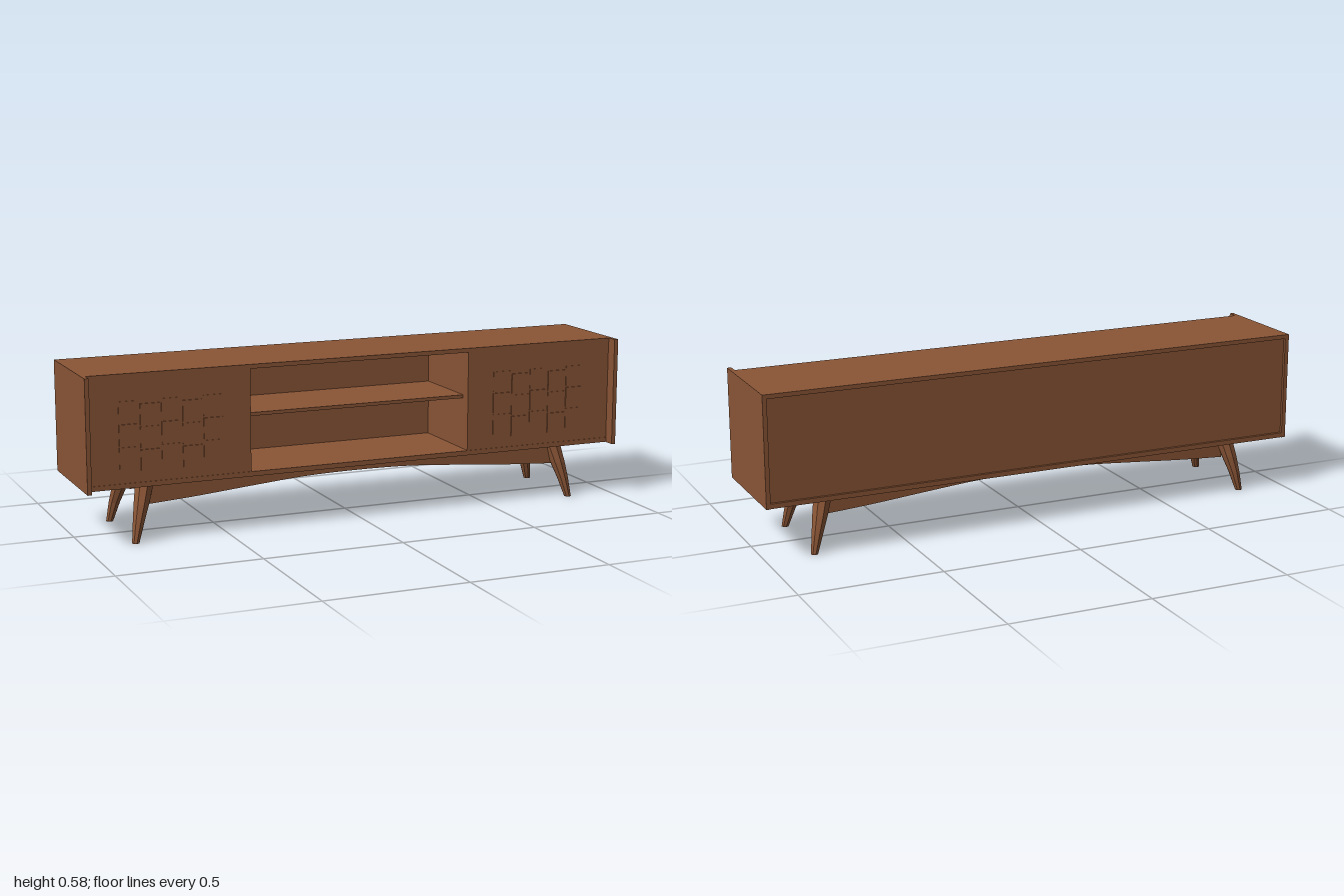
import * as THREE from 'three';

export function createModel() {
  const model = new THREE.Group();
  model.name = 'mediaConsole';
  const wood = new THREE.MeshStandardMaterial({ color: 0x8a5536 });
  wood.name = 'walnutBrown';
  wood.flatShading = true;

  const add = (name, geometry, parent = model) => {
    const mesh = new THREE.Mesh(geometry, wood);
    mesh.name = name;
    parent.add(mesh);
    return mesh;
  };
  // Box given by its limits on each axis
  const slab = (name, x0, x1, y0, y1, z0, z1, parent) => {
    const g = new THREE.BoxGeometry(x1 - x0, y1 - y0, z1 - z0);
    g.translate((x0 + x1) / 2, (y0 + y1) / 2, (z0 + z1) / 2);
    return add(name, g, parent);
  };

  // Carcass: the end panels stand proud of the front
  slab('topPanel', -0.985, 0.985, 0.565, 0.58, -0.195, 0.155);
  slab('bottomPanel', -0.985, 0.985, 0.191, 0.208, -0.195, 0.155);
  slab('backPanel', -0.985, 0.985, 0.208, 0.565, -0.185, -0.173);
  slab('shelf', -0.412, 0.412, 0.393, 0.405, -0.173, 0.115);

  for (const s of [-1, 1]) {
    const side = s > 0 ? 'left' : 'right';
    const span = (a, b) => (s > 0 ? [a, b] : [-b, -a]);
    slab(side + 'EndPanel', ...span(0.985, 1), 0.19, 0.58, -0.195, 0.195);
    slab(side + 'Partition', ...span(0.412, 0.427), 0.208, 0.565, -0.173, 0.153);

    // Door with a woven field of shallow blocks
    const door = new THREE.Group();
    door.name = side + 'Door';
    model.add(door);
    slab('doorPanel', ...span(0.427, 0.985), 0.208, 0.565, 0.135, 0.153, door);
    const cols = 5, rows = 3, w = 0.074, h = 0.078;
    for (let i = 0; i < cols; i++) {
      for (let j = 0; j < rows; j++) {
        const shift = i % 2 ? 0.012 : 0;
        const x = 0.51 + i * w, y = 0.25 + j * h - shift + 0.006;
        const raise = (i + j) % 2 ? 0.157 : 0.155;
        slab('wovenBlock', ...span(x + 0.003, x + w - 0.003), y + 0.003, y + h - 0.003, 0.153, raise, door);
      }
    }
  }

  // Arched rails between the legs
  const arch = [[-0.77, 0.123], [-0.6, 0.134], [-0.4, 0.151], [-0.2, 0.166], [0, 0.17],
    [0.2, 0.166], [0.4, 0.151], [0.6, 0.134], [0.77, 0.123]].map(p => new THREE.Vector2(...p));
  const railShape = new THREE.Shape();
  railShape.moveTo(-0.77, 0.123);
  railShape.splineThru(arch.slice(1));
  railShape.lineTo(0.77, 0.192);
  railShape.lineTo(-0.77, 0.192);
  railShape.closePath();
  for (const [name, z] of [['frontRail', 0.1], ['backRail', -0.125]]) {
    const g = new THREE.ExtrudeGeometry(railShape, { depth: 0.025, bevelEnabled: false, curveSegments: 24 });
    g.translate(0, 0, z);
    add(name, g);
  }

  // Splayed, tapered legs: stations of [y, x, halfX, z, halfZ]
  const stations = back => [
    [0, 0.828, 0.013, back ? -0.16 : 0.154, 0.013],
    [0.07, 0.812, 0.021, back ? -0.15 : 0.141, 0.022],
    [0.13, 0.796, 0.028, back ? -0.136 : 0.126, 0.031],
    [0.192, 0.78, 0.033, back ? -0.121 : 0.11, 0.036],
  ];
  const legGeometry = (back, s) => {
    const list = stations(back);
    const g = new THREE.CylinderGeometry(1, 1, 3, 8, 3);
    const p = g.attributes.position;
    for (let i = 0; i < p.count; i++) {
      const [y, x, hx, z, hz] = list[Math.round(p.getY(i) + 1.5)];
      p.setXYZ(i, s * x + p.getX(i) * hx, y, z + p.getZ(i) * hz);
    }
    g.computeVertexNormals();
    return g;
  };
  for (const s of [-1, 1]) {
    const side = s > 0 ? 'Left' : 'Right';
    add('front' + side + 'Leg', legGeometry(false, s));
    add('back' + side + 'Leg', legGeometry(true, s));
  }

  return model;
}
